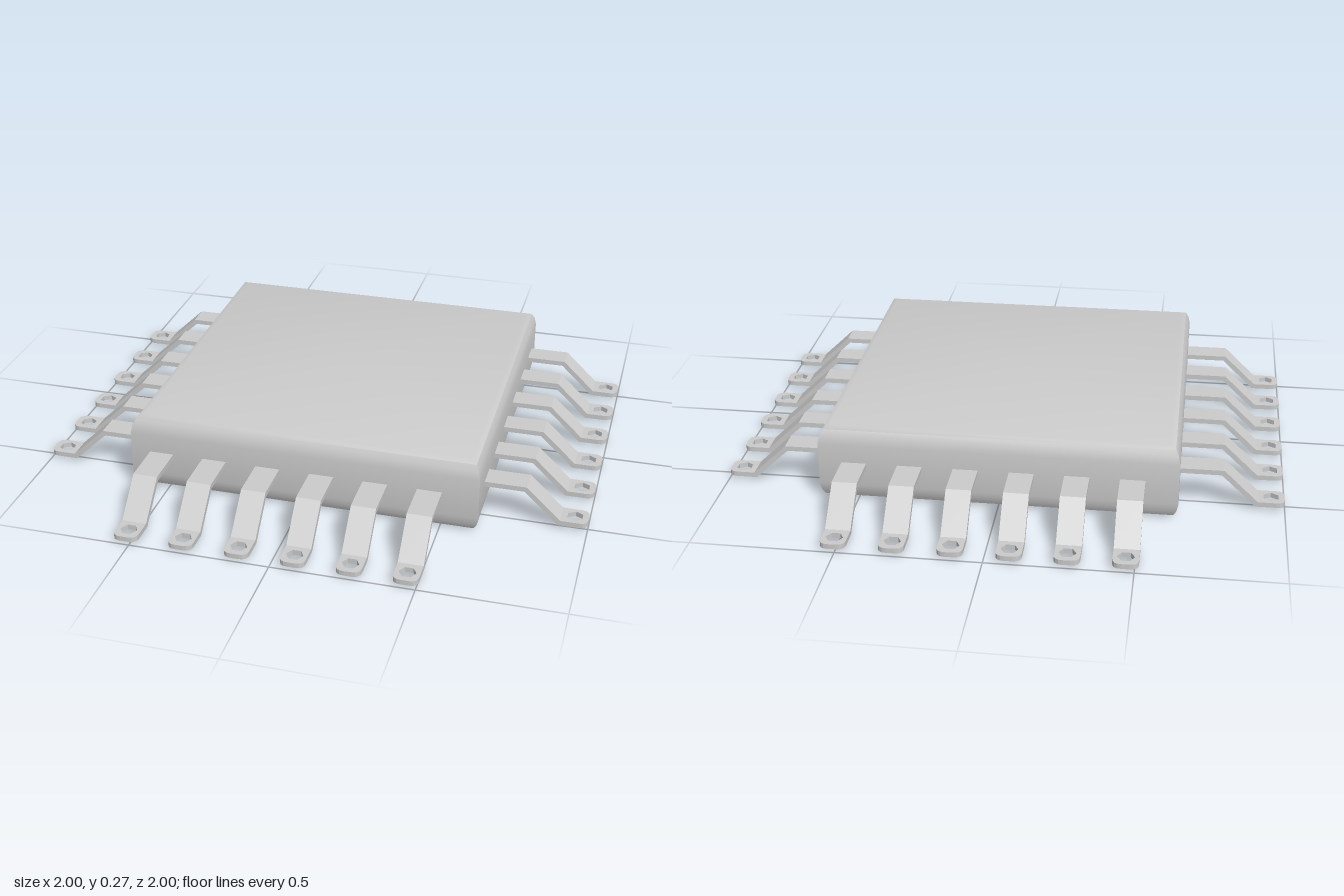
import * as THREE from 'three';
import { toCreasedNormals } from 'three/addons/utils/BufferGeometryUtils.js';

const material = new THREE.MeshStandardMaterial({ color: 0xcccccc });
const WIDTH = 0.088;
const THICK = 0.018;
const FOOT_TOP = 0.031;

// Square block with eased top and bottom edges: a four-sided lathe
function bodyGeometry() {
  const half = [[0, 0], [0.595, 0], [0.616, 0.009], [0.627, 0.03], [0.633, 0.06]];
  const height = 0.274;
  const profile = [...half, ...half.map(([r, y]) => [r, height - y]).reverse()]
    .map(([r, y]) => new THREE.Vector2(r * Math.SQRT2, y));
  return toCreasedNormals(new THREE.LatheGeometry(profile, 4, Math.PI / 4), 0.6);
}

// Bent strip running outward along +z: flat shoulder, then slope down
function armGeometry() {
  const shape = new THREE.Shape([
    [0.6, 0.129], [0.775, 0.129], [0.897, FOOT_TOP - THICK],
    [0.905, FOOT_TOP - THICK], [0.905, FOOT_TOP], [0.783, 0.147], [0.6, 0.147],
  ].map(([z, y]) => new THREE.Vector2(z, y)));
  return new THREE.ExtrudeGeometry(shape, { depth: WIDTH, bevelEnabled: false })
    .rotateY(-Math.PI / 2).translate(WIDTH / 2, 0, 0);
}

// Flat foot with rounded outer corners and a hexagonal hole
function footGeometry() {
  const w = WIDTH / 2, r = 0.03;
  const shape = new THREE.Shape();
  shape.moveTo(-w, 0.905);
  shape.lineTo(w, 0.905);
  shape.lineTo(w, 1 - r);
  shape.quadraticCurveTo(w, 1, w - r, 1);
  shape.lineTo(-w + r, 1);
  shape.quadraticCurveTo(-w, 1, -w, 1 - r);
  shape.closePath();
  const hexagon = [];
  for (let i = 0; i < 6; i++) {
    const a = -i * Math.PI / 3;
    hexagon.push(new THREE.Vector2(0.03 * Math.cos(a), 0.952 + 0.03 * Math.sin(a)));
  }
  shape.holes.push(new THREE.Path(hexagon));
  return new THREE.ExtrudeGeometry(shape, { depth: THICK, bevelEnabled: false, curveSegments: 4 })
    .rotateX(Math.PI / 2).translate(0, FOOT_TOP, 0);
}

function addMesh(parent, geometry, name) {
  const mesh = new THREE.Mesh(geometry, material);
  mesh.name = name;
  parent.add(mesh);
  return mesh;
}

export function createModel() {
  const model = new THREE.Group();
  model.name = 'chip';
  addMesh(model, bodyGeometry(), 'body').position.set(0.003, 0, -0.008);

  // Six leads per side, each row turned about the centre and slightly shifted
  const arm = armGeometry();
  const foot = footGeometry();
  const offsets = [-0.516, -0.318, -0.12, 0.077, 0.27, 0.463];
  const sides = [
    ['frontLeads', 0, 0],
    ['leftLeads', Math.PI / 2, 0.041],
    ['backLeads', Math.PI, 0.007],
    ['rightLeads', -Math.PI / 2, 0.025],
  ];
  for (const [name, angle, shift] of sides) {
    const row = new THREE.Group();
    row.name = name;
    row.rotation.y = angle;
    for (const offset of offsets) {
      const lead = new THREE.Group();
      lead.name = 'lead';
      lead.position.x = offset + shift;
      addMesh(lead, arm, 'leadArm');
      addMesh(lead, foot, 'leadFoot');
      row.add(lead);
    }
    model.add(row);
  }
  return model;
}
